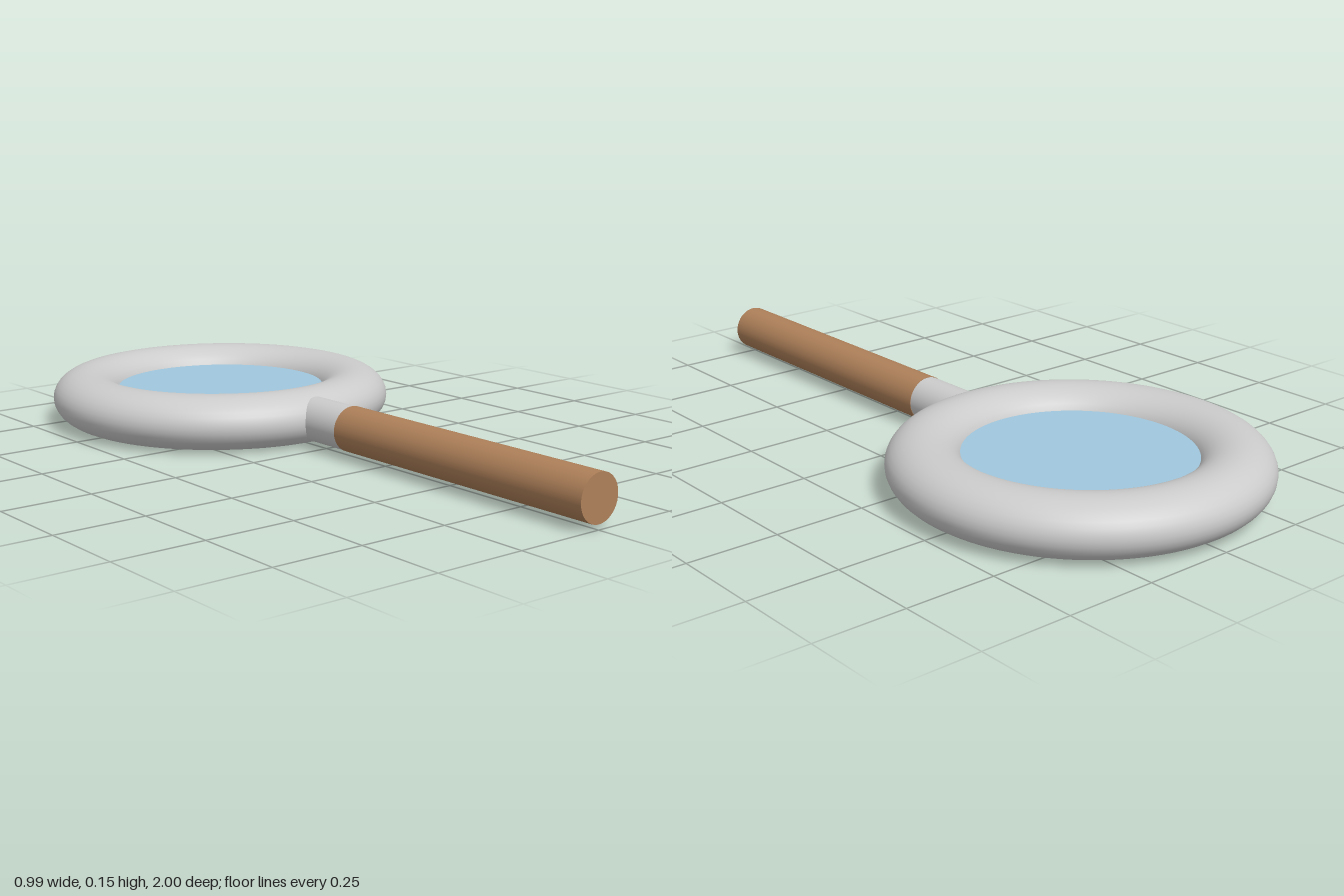
import * as THREE from 'three';

export function createModel() {
  const group = new THREE.Group();
  const metal = new THREE.MeshStandardMaterial({ color: 0xcccccc });
  const wood = new THREE.MeshStandardMaterial({ color: 0xae8059 });
  const glass = new THREE.MeshStandardMaterial({ color: 0xa0c8de });

  const midY = 0.0765;      // height of the central plane
  const ringZ = -0.505;     // centre of the ring
  const ringR = 0.396, tubeR = 0.099;

  const add = (name, geometry, material, z) => {
    const mesh = new THREE.Mesh(geometry, material);
    mesh.name = name;
    mesh.position.set(0, midY, z);
    group.add(mesh);
  };

  // Rod lying along z between two depths
  const rod = (name, material, radius, z0, z1) => add(
    name,
    new THREE.CylinderGeometry(radius, radius, z1 - z0, 48).rotateX(Math.PI / 2),
    material, (z0 + z1) / 2);

  // Ring: torus laid flat and slightly squashed in height
  add('ring',
    new THREE.TorusGeometry(ringR, tubeR, 32, 96)
      .rotateX(Math.PI / 2)
      .scale(1, midY / tubeR, 1),
    metal, ringZ);

  // Lens: thin disc whose rim is buried in the ring
  add('lens', new THREE.CylinderGeometry(0.36, 0.36, 0.052, 96), glass, ringZ);

  // Collar runs into the ring, handle continues to the front
  rod('collar', metal, 0.062, -0.1, 0.11);
  rod('handle', wood, 0.063, 0.11, 1);

  return group;
}
